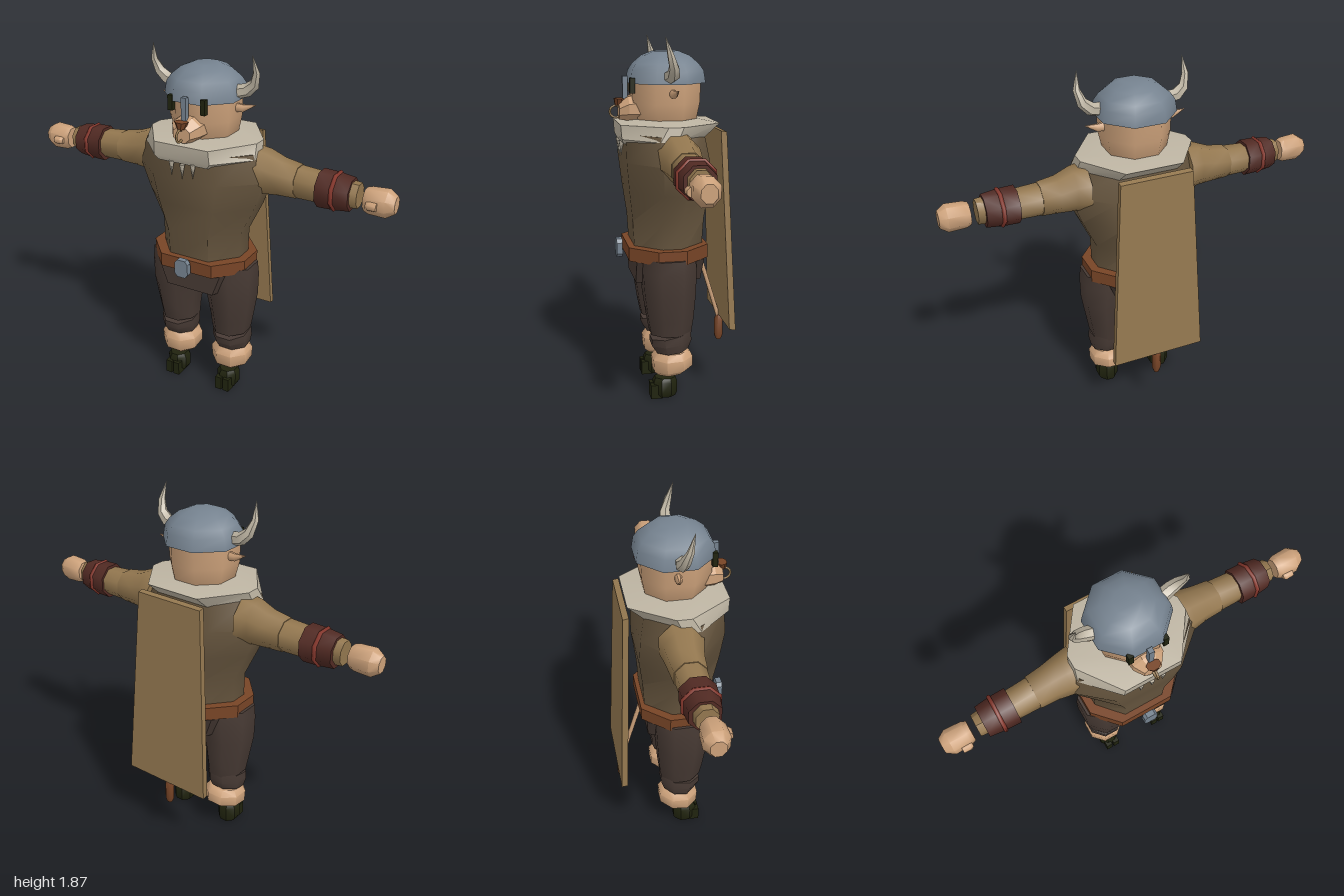
import * as THREE from 'three';
import { toCreasedNormals } from 'three/addons/utils/BufferGeometryUtils.js';

const mat = (name, color) => {
  const m = new THREE.MeshStandardMaterial({ color });
  m.name = name;
  return m;
};

// Eight-sided ring at height y, given by its bounds; kx and kz set the corner positions.
// slope raises the ring with z.
function oct(y, x0, x1, z0, z1, kx = 0.414, kz = 0.414, slope = 0) {
  const cx = (x0 + x1) / 2, hx = (x1 - x0) / 2, cz = (z0 + z1) / 2, hz = (z1 - z0) / 2;
  return [[1, kz], [kx, 1], [-kx, 1], [-1, kz], [-1, -kz], [-kx, -1], [kx, -1], [1, -kz]]
    .map(([a, b]) => [cx + a * hx, y + slope * b * hz, cz + b * hz]);
}

// Closed skin through a stack of rings, with capped ends.
function loft(rings, crease = 0.85) {
  const n = rings[0].length, pos = rings.flat(2), index = [];
  for (let i = 0; i < rings.length - 1; i++) {
    for (let j = 0; j < n; j++) {
      const a = i * n + j, b = i * n + (j + 1) % n;
      index.push(a, a + n, b, b, a + n, b + n);
    }
  }
  const top = (rings.length - 1) * n;
  for (let j = 1; j < n - 1; j++) index.push(0, j, j + 1, top, top + j + 1, top + j);
  const g = new THREE.BufferGeometry();
  g.setAttribute('position', new THREE.Float32BufferAttribute(pos, 3));
  g.setIndex(index);
  return toCreasedNormals(g, crease);
}

// Stack of rings running along +x; each row is x, y0, y1, z0, z1.
const loftX = rows =>
  loft(rows.map(([x, y0, y1, z0, z1]) => oct(x, -y1, -y0, z0, z1))).rotateZ(-Math.PI / 2);

export function createModel() {
  const cloth = mat('tan cloth', 0x93774f), tunic = mat('brown tunic', 0x66553e);
  const skin = mat('skin', 0xcca17a), trousers = mat('dark trousers', 0x463933);
  const leather = mat('leather', 0x774426), fur = mat('pale fur and horn', 0xbdb4a2);
  const steel = mat('steel', 0x75828f), hoofDark = mat('dark green', 0x20230e);
  const cuffDark = mat('maroon leather', 0x512a23), red = mat('red cord', 0x86372c);

  const model = new THREE.Group();
  const add = (parent, name, geo, material, x = 0, y = 0, z = 0) => {
    const m = new THREE.Mesh(geo, material);
    m.name = name;
    m.position.set(x, y, z);
    parent.add(m);
    return m;
  };
  const box = (w, h, d) => new THREE.BoxGeometry(w, h, d);

  // Torso, pelvis and belt
  add(model, 'torso', loft([
    oct(0.78, -0.225, 0.225, -0.15, 0.2, 0.5, 0.27),
    oct(0.95, -0.23, 0.23, -0.16, 0.21, 0.5, 0.27),
    oct(1.11, -0.305, 0.305, -0.18, 0.23, 0.5, 0.27),
    oct(1.26, -0.355, 0.355, -0.175, 0.245, 0.5, 0.27),
    oct(1.40, -0.3, 0.3, -0.15, 0.245, 0.5, 0.27)]), tunic);
  add(model, 'pelvis', loft([
    oct(0.63, -0.15, 0.15, -0.14, 0.2, 0.9, 0.8),
    oct(0.75, -0.2, 0.2, -0.15, 0.2, 0.9, 0.8)]), trousers);
  add(model, 'belt', loft([
    oct(0.75, -0.27, 0.27, -0.175, 0.235, 0.55, 0.35),
    oct(0.82, -0.27, 0.27, -0.175, 0.235, 0.55, 0.35)], 0.3), leather);
  add(model, 'buckle', loft([
    oct(-0.015, -0.038, 0.038, -0.048, 0.048, 0.6, 0.6),
    oct(0.015, -0.038, 0.038, -0.048, 0.048, 0.6, 0.6)], 0.3).rotateX(Math.PI / 2),
    steel, 0, 0.787, 0.268);

  // Fur collar with hanging teeth
  add(model, 'furCollar', loft([
    oct(1.35, -0.27, 0.27, -0.13, 0.255, 0.5, 0.2),
    oct(1.375, -0.31, 0.31, -0.15, 0.265, 0.5, 0.2),
    oct(1.445, -0.3, 0.3, -0.23, 0.27, 0.5, 0.15),
    oct(1.46, -0.16, 0.16, -0.14, 0.18)], 0.5), fur);
  [[-0.06, 1.32], [0, 1.31], [0.06, 1.32]].forEach(([x, y]) =>
    add(model, 'tooth', new THREE.ConeGeometry(0.014, 0.075, 5).rotateX(Math.PI), fur, x, y, 0.257));

  // Head and face
  add(model, 'head', loft([
    oct(1.40, -0.12, 0.12, -0.1, 0.14),
    oct(1.46, -0.15, 0.15, -0.13, 0.17),
    oct(1.54, -0.166, 0.166, -0.145, 0.195),
    oct(1.66, -0.166, 0.166, -0.15, 0.2)]), skin);
  add(model, 'snout', loft([
    oct(0.15, -0.085, 0.085, -0.07, 0.065),
    oct(0.215, -0.078, 0.078, -0.06, 0.06),
    oct(0.26, -0.045, 0.045, -0.025, 0.055)], 0.5)
    .rotateX(Math.PI / 2).scale(1, -1, 1).rotateZ(Math.PI).scale(1, -1, 1).rotateZ(Math.PI),
    skin, 0, 1.513, 0);
  add(model, 'nose', loft([
    oct(-0.02, -0.018, 0.018, -0.02, 0.02),
    oct(0.015, -0.034, 0.034, -0.025, 0.025)], 0.4), leather, 0, 1.548, 0.258);
  add(model, 'noseRing', new THREE.TorusGeometry(0.03, 0.006, 6, 14).rotateY(Math.PI / 2),
    cloth, 0, 1.497, 0.275);

  // Helmet with nose guard
  const dome = [[1.64, 0.192], [1.70, 0.183], [1.735, 0.16], [1.775, 0.115], [1.797, 0.062]];
  add(model, 'helmet', loft(dome.map(([y, r]) => oct(y, -r, r, 0.02 - r, 0.02 + r))), steel);
  add(model, 'noseGuard', box(0.026, 0.115, 0.026), steel, 0, 1.617, 0.227);

  // Cape and tail
  add(model, 'cape', loft([
    [[0.25, 0.375, -0.305], [0.25, 0.38, -0.272], [-0.25, 0.38, -0.272], [-0.25, 0.375, -0.305]],
    [[0.19, 1.405, -0.258], [0.19, 1.41, -0.228], [-0.19, 1.41, -0.228], [-0.19, 1.405, -0.258]],
  ], 0.3), cloth);
  const tailPath = new THREE.LineCurve3(
    new THREE.Vector3(0, 0.77, -0.15), new THREE.Vector3(0, 0.36, -0.275));
  add(model, 'tail', new THREE.TubeGeometry(tailPath, 1, 0.012, 6), skin);
  add(model, 'tailTuft', loft([
    oct(0.235, -0.014, 0.014, -0.014, 0.014),
    oct(0.26, -0.022, 0.022, -0.022, 0.022),
    oct(0.35, -0.022, 0.022, -0.022, 0.022),
    oct(0.39, -0.009, 0.009, -0.009, 0.009)]), leather, 0, 0, -0.277);

  // Horn cross-sections: x, y, z, radius, tilt of the ring from level
  const hornGeo = () => loft([
    [0.165, 1.675, 0.03, 0.036, -1.35], [0.225, 1.69, 0.02, 0.033, -1.1],
    [0.265, 1.725, 0.025, 0.027, -0.65], [0.283, 1.785, 0.045, 0.018, -0.05],
    [0.272, 1.87, 0.068, 0.001, 0.15]].map(([x, y, z, r, a]) =>
    Array.from({ length: 6 }, (_, i) => {
      const t = i * Math.PI / 3, u = r * Math.cos(t);
      return [x + u * Math.cos(a), y + u * Math.sin(a), z + r * Math.sin(t)];
    })), 0.7);

  // Everything paired: built on the left, mirrored to the right
  for (const side of [1, -1]) {
    const half = new THREE.Group();
    half.name = side > 0 ? 'leftSide' : 'rightSide';
    half.scale.x = side;
    model.add(half);

    add(half, 'horn', hornGeo(), fur);
    add(half, 'eye', box(0.026, 0.075, 0.025), hoofDark, 0.09, 1.632, 0.203);
    add(half, 'ear', loftX([
      [0.15, 1.57, 1.615, -0.005, 0.03],
      [0.2, 1.575, 1.612, -0.005, 0.025],
      [0.262, 1.613, 1.617, 0.0, 0.004]]), skin);

    // Arm
    add(half, 'upperArm', loftX([
      [0.27, 1.18, 1.41, -0.1, 0.12], [0.34, 1.19, 1.4, -0.09, 0.105],
      [0.42, 1.195, 1.37, -0.08, 0.09], [0.51, 1.197, 1.355, -0.072, 0.085]]), cloth);
    add(half, 'forearm', loftX([
      [0.5, 1.2, 1.352, -0.068, 0.082], [0.64, 1.2, 1.342, -0.06, 0.08],
      [0.82, 1.212, 1.33, -0.035, 0.068]]), cloth);
    add(half, 'cuff', loftX([
      [0.622, 1.182, 1.358, -0.072, 0.098], [0.7, 1.184, 1.355, -0.07, 0.096],
      [0.785, 1.192, 1.345, -0.06, 0.088]]), cuffDark);
    add(half, 'cuffCord', new THREE.TorusGeometry(0.089, 0.011, 6, 8)
      .rotateZ(Math.PI / 8).rotateY(Math.PI / 2), red, 0.705, 1.27, 0.013);
    add(half, 'hand', loftX([
      [0.85, 1.212, 1.318, -0.022, 0.07], [0.875, 1.203, 1.325, -0.032, 0.082],
      [0.96, 1.2, 1.33, -0.035, 0.085], [1.0, 1.225, 1.305, -0.012, 0.06]]), skin);
    add(half, 'thumb', loftX([
      [0.872, 1.245, 1.275, 0.06, 0.095], [0.885, 1.24, 1.28, 0.06, 0.105],
      [0.925, 1.24, 1.28, 0.06, 0.103]]), skin);

    // Leg
    add(half, 'thigh', loft([
      oct(0.36, 0.065, 0.255, -0.08, 0.13),
      oct(0.44, 0.058, 0.268, -0.09, 0.145),
      oct(0.58, 0.035, 0.29, -0.1, 0.165),
      oct(0.7, 0.005, 0.292, -0.105, 0.172),
      oct(0.77, 0.0, 0.285, -0.1, 0.17)]), trousers);
    add(half, 'shin', loft([
      oct(0.268, 0.075, 0.255, -0.065, 0.1, 0.414, 0.414, -0.12),
      oct(0.31, 0.066, 0.262, -0.08, 0.127, 0.414, 0.414, -0.1),
      oct(0.355, 0.066, 0.258, -0.078, 0.128, 0.414, 0.414, -0.2)]), trousers);
    add(half, 'ankle', loft([
      oct(0.14, 0.085, 0.235, -0.055, 0.09, 0.414, 0.414, -0.14),
      oct(0.165, 0.058, 0.262, -0.088, 0.115, 0.414, 0.414, -0.12),
      oct(0.225, 0.055, 0.264, -0.088, 0.12, 0.414, 0.414, -0.05),
      oct(0.258, 0.08, 0.24, -0.06, 0.095)]), skin);
    add(half, 'hoof', loft([
      oct(0.005, 0.115, 0.205, 0.0, 0.105), oct(0.025, 0.104, 0.216, -0.008, 0.115),
      oct(0.09, 0.104, 0.216, -0.008, 0.115), oct(0.11, 0.115, 0.205, 0.0, 0.105)], 0.6), hoofDark);
    for (const x of [0.137, 0.183])
      add(half, 'hoofToe', box(0.036, 0.075, 0.06), hoofDark, x, 0.0375, 0.103);
  }
  return model;
}
